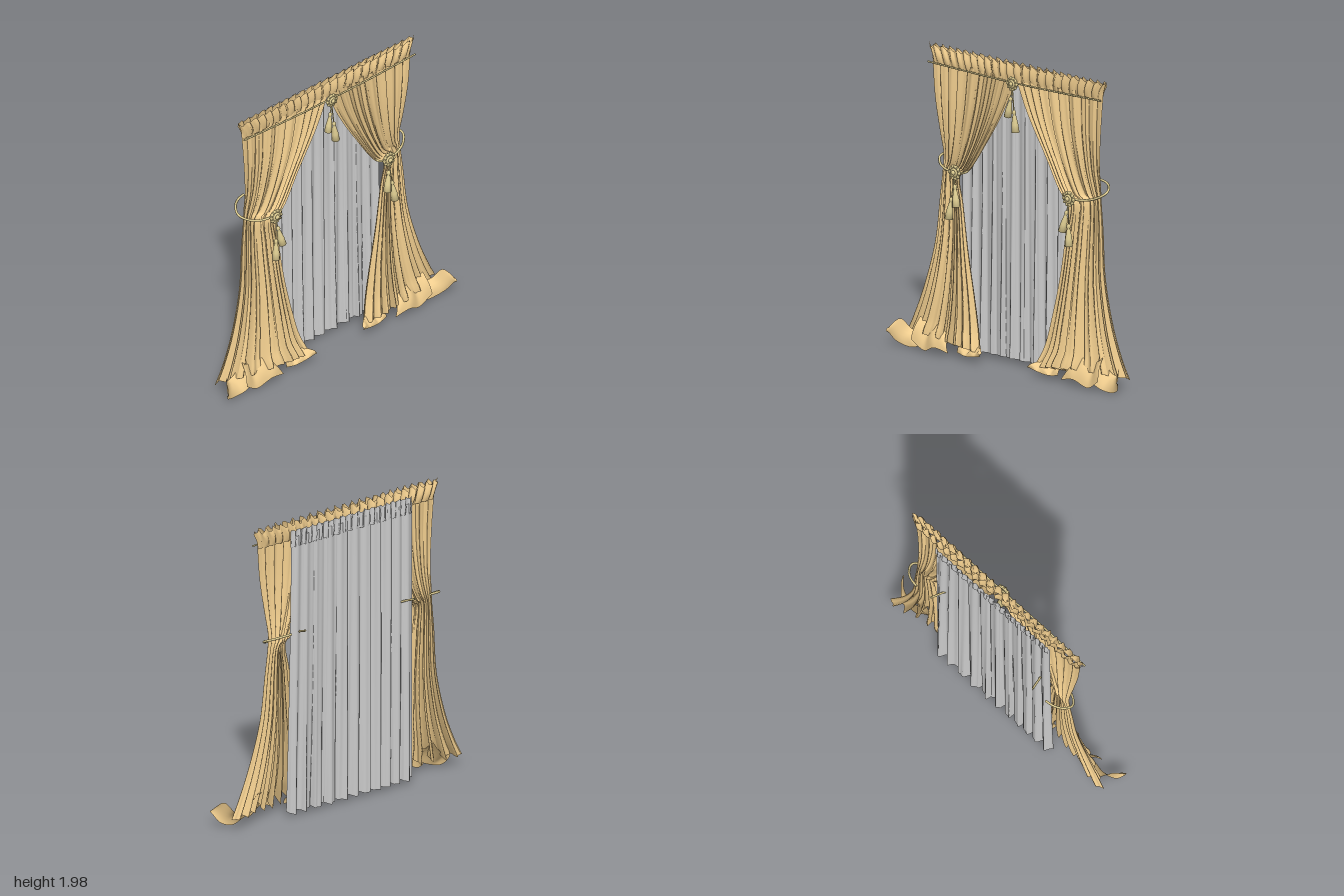
import * as THREE from 'three';

const mat = (color, extra = {}) =>
  new THREE.MeshStandardMaterial({ color, side: THREE.DoubleSide, ...extra });
const V = (x, y, z) => new THREE.Vector3(x, y, z);
const smooth = THREE.MathUtils.smoothstep;
const TAU = Math.PI * 2;

// Cloth sheet: fn(s, t) returns a point, s runs across and t runs down
function sheet(name, nu, nv, fn, material) {
  const pos = [], idx = [];
  for (let j = 0; j <= nv; j++)
    for (let i = 0; i <= nu; i++) pos.push(...fn(i / nu, j / nv).toArray());
  for (let j = 0; j < nv; j++)
    for (let i = 0; i < nu; i++) {
      const a = j * (nu + 1) + i, b = a + nu + 1;
      idx.push(a, b, a + 1, b, b + 1, a + 1);
    }
  const g = new THREE.BufferGeometry();
  g.setAttribute('position', new THREE.Float32BufferAttribute(pos, 3));
  g.setIndex(idx);
  g.computeVertexNormals();
  const m = new THREE.Mesh(g, material);
  m.name = name;
  return m;
}

const rail = (pts) => new THREE.CatmullRomCurve3(pts.map((p) => V(...p)));

// Irregular pleat wave, about -1..1
const pleat = (s, n, shift = 0) =>
  0.72 * Math.sin(TAU * (n * s + 0.25 * Math.sin(7 * s + shift))) +
  0.28 * Math.sin(TAU * (2.3 * n * s) + 1 + shift);

function add(parent, name, geometry, material) {
  const m = new THREE.Mesh(geometry, material);
  m.name = name;
  parent.add(m);
  return m;
}

function rope(parent, name, pts, r, material) {
  return add(parent, name, new THREE.TubeGeometry(rail(pts), 28, r, 6), material);
}

// Round knot facing +x: petals, two rings and a button
function rosette(x, y, z, r, material) {
  const g = new THREE.Group();
  g.name = 'rosette';
  add(g, 'rosetteRing', new THREE.TorusGeometry(r * 0.78, r * 0.2, 6, 20), material);
  add(g, 'rosetteInnerRing', new THREE.TorusGeometry(r * 0.45, r * 0.18, 6, 16), material).position.z = r * 0.2;
  add(g, 'rosetteButton', new THREE.SphereGeometry(r * 0.32, 10, 8), material).position.z = r * 0.28;
  const back = add(g, 'rosetteBack', new THREE.CylinderGeometry(r * 0.85, r * 0.85, r * 0.2, 16), material);
  back.rotation.x = Math.PI / 2;
  for (let i = 0; i < 10; i++) {
    const a = (i / 10) * TAU;
    const p = add(g, 'rosettePetal', new THREE.SphereGeometry(r * 0.24, 6, 5), material);
    p.position.set(Math.cos(a) * r * 0.82, Math.sin(a) * r * 0.82, r * 0.06);
  }
  g.rotation.y = Math.PI / 2;
  g.position.set(x, y, z);
  return g;
}

// Cord with a flared skirt hanging from a to b
function tassel(a, b, size, material) {
  const g = new THREE.Group();
  g.name = 'tassel';
  const len = a.distanceTo(b);
  const profile = [[0, 0], [0.026, 0], [0.022, 0.05], [0.012, 0.105], [0.008, 0.112],
    [0.013, 0.12], [0.013, 0.132], [0.006, 0.142], [0, 0.143]]
    .map(([x, y]) => new THREE.Vector2(x * size, y * size));
  add(g, 'tasselSkirt', new THREE.LatheGeometry(profile, 10), material);
  const cord = add(g, 'tasselCord', new THREE.CylinderGeometry(0.004, 0.004, len - 0.13 * size, 6), material);
  cord.position.y = (len + 0.13 * size) / 2;
  g.position.copy(b);
  g.quaternion.setFromUnitVectors(V(0, 1, 0), a.clone().sub(b).normalize());
  return g;
}

// Side drape: outer and inner edges, gathered at the tieback
const outerEdge = rail([[0, 1.9, 0.71], [0, 1.65, 0.69], [-0.02, 1.42, 0.665], [-0.045, 1.27, 0.655],
  [-0.045, 1.18, 0.66], [-0.04, 1.0, 0.68], [-0.03, 0.7, 0.71], [-0.02, 0.4, 0.79],
  [-0.02, 0.2, 0.87], [-0.025, 0.09, 0.925]]);
const innerEdge = rail([[0.015, 1.88, 0], [0.015, 1.68, 0.09], [0.015, 1.43, 0.24], [0.03, 1.215, 0.385],
  [0.035, 1.17, 0.455], [0.03, 1.0, 0.43], [0.03, 0.7, 0.385], [0.035, 0.4, 0.32],
  [0.05, 0.2, 0.27], [0.09, 0.07, 0.22]]);

function drapePoint(s, t) {
  const p = outerEdge.getPoint(t).lerp(innerEdge.getPoint(t), s);
  const low = smooth(t, 0.5, 1);
  const tie = Math.exp(-(((t - 0.39) / 0.1) ** 2));
  const mid = Math.sin(Math.PI * s);
  const amp = 0.02 + 0.04 * low + 0.006 * tie;
  const wave = pleat(s, 9, t * 0.5);
  p.x += amp * wave * (0.35 + 0.65 * mid) + mid * (0.055 * low - 0.012 * tie);
  p.z += 0.012 * mid * Math.cos(TAU * 9 * s) * (1 + low);
  // swag folds sag toward the tieback
  p.y -= 0.05 * mid * Math.sin(Math.PI * Math.min(1, t / 0.4));
  // uneven hem
  p.y += smooth(t, 0.85, 1) * (0.03 * wave * mid + 0.02 * mid);
  return p;
}

// Loose cloth pooled on the floor, each as front and back edges
const puddles = [
  ['hemTail',
    [[0, 0.22, 0.7], [0.02, 0.13, 0.78], [0.03, 0.11, 0.85], [0.08, 0.18, 0.91], [0.15, 0.12, 0.96]],
    [[0.08, 0.09, 0.63], [0.1, 0.03, 0.75], [0.09, 0.012, 0.84], [0.11, 0.04, 0.92], [0.145, 0.1, 0.958]]],
  ['hemFold',
    [[0.06, 0.22, 0.76], [0.05, 0.17, 0.68], [0.07, 0.19, 0.6], [0.07, 0.14, 0.52]],
    [[0.13, 0.08, 0.78], [0.12, 0.02, 0.68], [0.14, 0.06, 0.58], [0.13, 0.04, 0.47]]],
  ['hemCorner',
    [[0.05, 0.12, 0.42], [0.06, 0.08, 0.34], [0.07, 0.11, 0.26], [0.12, 0.09, 0.2]],
    [[0.1, 0.05, 0.42], [0.11, 0.04, 0.35], [0.12, 0.05, 0.27], [0.13, 0.07, 0.195]]],
];

export function createModel() {
  const model = new THREE.Group();
  model.name = 'curtains';
  const cloth = mat(0xf0cd8e);
  const trim = mat(0xdccb90);
  const grey = mat(0xcccccc);

  // Sheer panel behind the drapes
  model.add(sheet('sheerPanel', 140, 24, (s, t) => {
    const w = pleat(s, 11, t * 0.8);
    const low = t * t;
    return V(-0.052 + 0.01 * low + w * (0.009 + 0.018 * low), 1.9 - 1.86 * t + 0.006 * w * t,
      (s - 0.5) * (0.97 + 0.03 * t) + 0.008 * Math.cos(TAU * 11 * s));
  }, grey));
  model.add(sheet('sheerHeading', 140, 4, (s, t) =>
    V(-0.056 + pleat(s, 22) * (0.006 + 0.01 * Math.sin(Math.PI * t)),
      1.94 - 0.11 * t + 0.008 * pleat(s, 17) * (1 - t), (s - 0.5) * 0.97), grey));

  // Ruffled heading, front and back layers joined at the ends
  for (const [name, x, dir] of [['headingFront', 0.012, 1], ['headingBack', -0.012, -1]])
    model.add(sheet(name, 150, 6, (s, t) => {
      const ruffle = pleat(s, 23, dir);
      const puff = Math.sin(Math.PI * (0.15 + 0.85 * t));
      const ends = smooth(Math.abs(s - 0.5), 0.485, 0.5);
      const half = 0.705 + 0.035 * (1 - t) ** 2;
      return V((x + dir * 0.012 * puff + 0.015 * ruffle * (0.4 + 0.6 * puff)) * (1 - ends),
        1.975 - 0.115 * t + 0.018 * ruffle * (1 - t), (s - 0.5) * 2 * half);
    }, cloth));
  rope(model, 'headingCord', [[0.035, 1.872, -0.72], [0.045, 1.868, -0.35], [0.045, 1.864, 0],
    [0.045, 1.868, 0.35], [0.035, 1.872, 0.72]], 0.006, trim);

  // Centre knot with two tassels
  model.add(rosette(0.055, 1.86, 0, 0.045, trim));
  model.add(tassel(V(0.055, 1.83, 0), V(0.06, 1.64, 0.035), 0.95, trim));
  model.add(tassel(V(0.055, 1.83, 0), V(0.06, 1.55, -0.03), 1, trim));

  // Left and right drapes with tiebacks
  for (const side of [1, -1]) {
    const g = new THREE.Group();
    g.name = side > 0 ? 'leftDrape' : 'rightDrape';
    const flip = (p) => p.setZ(p.z * side);
    const flipAll = (pts) => pts.map(([x, y, z]) => [x, y, z * side]);

    g.add(sheet('drapePanel', 130, 60, (s, t) => flip(drapePoint(s, t)), cloth));

    for (const [name, a, b] of puddles) {
      const ra = rail(a), rb = rail(b);
      g.add(sheet(name, 24, 6, (s, t) => {
        const p = ra.getPoint(s).lerp(rb.getPoint(s), t);
        p.y += 0.012 * Math.sin(Math.PI * t) * Math.sin(s * 16);
        p.x += 0.015 * Math.sin(Math.PI * t);
        return flip(p);
      }, cloth));
    }

    rope(g, 'tiebackOuter', flipAll([[0.055, 1.2, 0.47], [0.035, 1.2, 0.57], [0.0, 1.22, 0.65],
      [-0.05, 1.25, 0.69], [-0.11, 1.275, 0.66], [-0.14, 1.29, 0.61], [-0.15, 1.295, 0.555]]), 0.008, trim);
    rope(g, 'tiebackInner', flipAll([[0.055, 1.2, 0.47], [0.04, 1.205, 0.41], [0.0, 1.225, 0.4],
      [-0.07, 1.26, 0.42], [-0.145, 1.29, 0.44]]), 0.007, trim);
    g.add(rosette(0.06, 1.2, 0.475 * side, 0.048, trim));
    const knot = V(0.065, 1.165, 0.475 * side);
    g.add(tassel(knot, V(0.085, 0.985, 0.44 * side), 1, trim));
    g.add(tassel(knot, V(0.09, 0.9, 0.5 * side), 1, trim));
    model.add(g);
  }
  return model;
}
